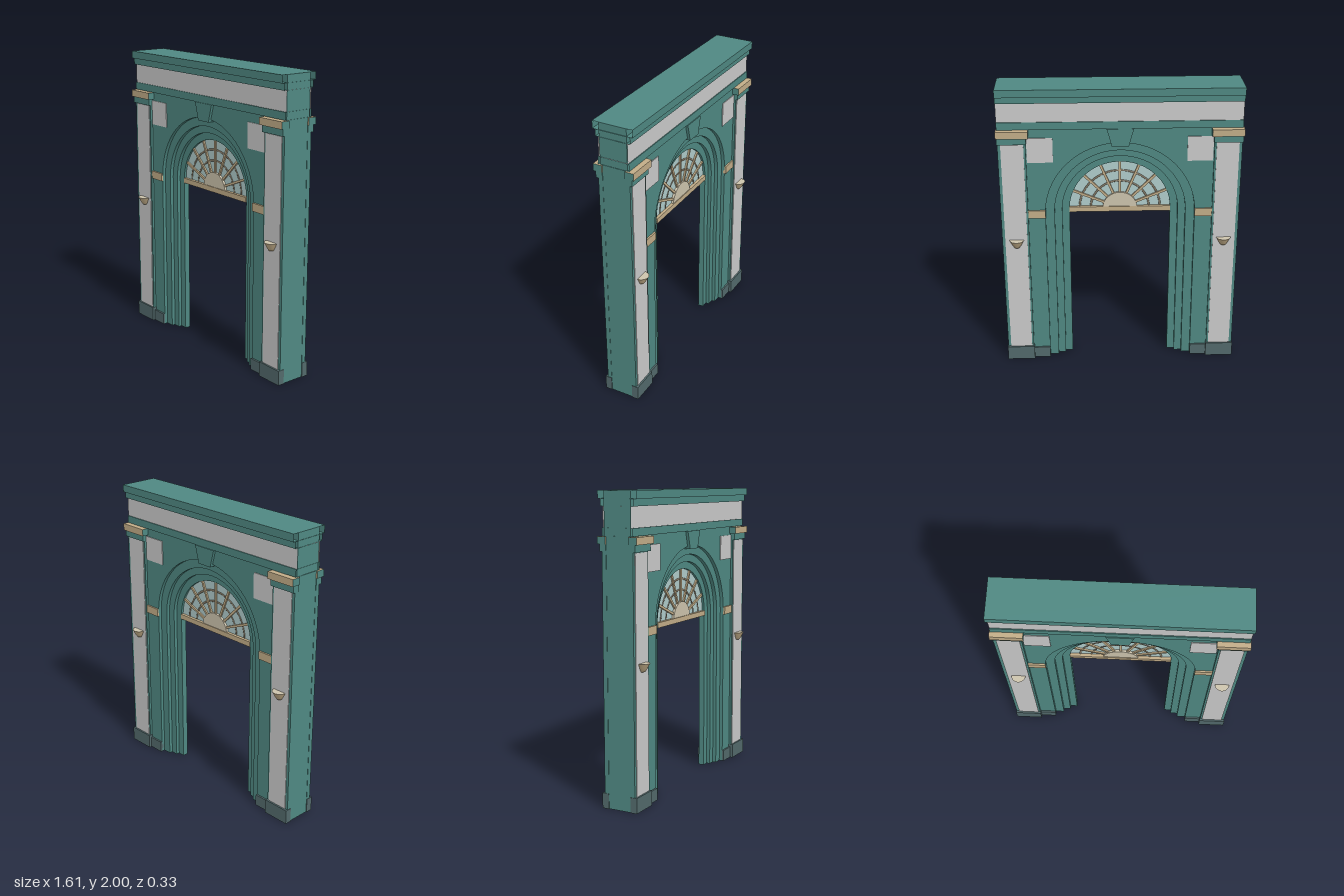
import * as THREE from 'three';
import { toCreasedNormals } from 'three/addons/utils/BufferGeometryUtils.js';

const mat = (name, color, side = THREE.FrontSide) => {
  const m = new THREE.MeshStandardMaterial({ color, side });
  m.name = name;
  return m;
};

export function createModel() {
  const model = new THREE.Group();
  model.name = 'archway';

  const green = mat('green stone', 0x4f8882, THREE.DoubleSide);
  const grey = mat('grey panel', 0xcacaca, THREE.DoubleSide);
  const slate = mat('slate base', 0x52696b);
  const tan = mat('tan trim', 0xc2ad88);
  const cream = mat('cream', 0xcdc4ad);
  const bronze = mat('bronze', 0x7d7462);
  const glass = mat('pale glass', 0xb0cccb);

  const add = (name, geo, material, x = 0, y = 0, z = 0) => {
    const m = new THREE.Mesh(geo, material);
    m.name = name;
    m.position.set(x, y, z);
    model.add(m);
    return m;
  };
  // Box given by its limits
  const box = (name, material, x0, x1, y0, y1, z0, z1) =>
    add(name, new THREE.BoxGeometry(x1 - x0, y1 - y0, z1 - z0), material,
      (x0 + x1) / 2, (y0 + y1) / 2, (z0 + z1) / 2);
  // Solid of a flat shape, centred on z = 0
  const slab = (name, shape, halfDepth, material) => {
    const geo = new THREE.ExtrudeGeometry(shape, { depth: halfDepth * 2, bevelEnabled: false, curveSegments: 40 });
    return add(name, toCreasedNormals(geo, 0.4), material, 0, 0, -halfDepth);
  };

  const SPRING = 1.125; // height of the arch centre
  const WALL = 0.094;   // half the wall thickness

  // Wall with the arched opening
  const wall = new THREE.Shape();
  wall.moveTo(-0.795, 0);
  wall.lineTo(-0.5, 0);
  wall.lineTo(-0.5, SPRING);
  wall.absarc(0, SPRING, 0.5, Math.PI, 0, true);
  wall.lineTo(0.5, 0);
  wall.lineTo(0.795, 0);
  wall.lineTo(0.795, 1.999);
  wall.lineTo(-0.795, 1.999);
  slab('wall', wall, WALL, green);

  // Stepped surround, each ring further back
  [[0.5, 0.44, 0.07], [0.44, 0.39, 0.045], [0.39, 0.34, 0.02]].forEach(([R, r, depth]) => {
    const s = new THREE.Shape();
    s.moveTo(-R, 0);
    s.lineTo(-r, 0);
    s.lineTo(-r, SPRING);
    s.absarc(0, SPRING, r, Math.PI, 0, true);
    s.lineTo(r, 0);
    s.lineTo(R, 0);
    s.lineTo(R, SPRING);
    s.absarc(0, SPRING, R, 0, Math.PI, false);
    s.lineTo(-R, 0);
    slab('archRing', s, depth, green);
  });

  // Entablature bands, open at both ends
  [
    ['architrave', green, 1.725, 1.775, 0.106],
    ['frieze', grey, 1.775, 1.905, 0.1],
    ['lowerCornice', green, 1.905, 1.95, 0.118],
    ['upperCornice', green, 1.95, 2, 0.137],
  ].forEach(([name, material, y0, y1, z]) => {
    const geo = new THREE.BoxGeometry(1.596, y1 - y0, z * 2);
    geo.setIndex([...geo.index.array].slice(12)); // drop the two end faces
    geo.clearGroups();
    add(name, geo, material, 0, (y0 + y1) / 2, 0);
  });

  // Keystone through the wall
  const key = new THREE.Shape([[-0.055, 1.605], [0.055, 1.605], [0.088, 1.725], [-0.088, 1.725]]
    .map(([x, y]) => new THREE.Vector2(x, y)));
  slab('keystone', key, 0.112, green);

  // Half bowl of a wall lamp
  const bowl = new THREE.LatheGeometry([[0.001, 0], [0.018, 0.004], [0.03, 0.022], [0.04, 0.042], [0.049, 0.058]]
    .map(([x, y]) => new THREE.Vector2(x, y)), 20, -Math.PI / 2, Math.PI);
  const bowlTop = new THREE.CircleGeometry(0.049, 20, Math.PI, Math.PI).rotateX(-Math.PI / 2);

  const trim = [green, green, tan, tan, tan, tan];
  for (const f of [1, -1]) {   // front and back
    for (const s of [1, -1]) { // left and right
      const part = (name, material, x0, x1, y0, y1, z0, z1) =>
        box(name, material, Math.min(s * x0, s * x1), Math.max(s * x0, s * x1), y0, y1,
          Math.min(f * z0, f * z1), Math.max(f * z0, f * z1));
      part('pilaster', green, 0.615, 0.797, 0.1, 1.63, 0.08, 0.11);
      part('pilasterPanel', grey, 0.628, 0.777, 0.1, 1.625, 0.108, 0.114);
      part('pilasterBase', slate, 0.61, 0.8, 0, 0.1, 0.08, 0.126);
      part('jambBase', slate, 0.5, 0.61, 0, 0.08, 0.08, 0.106);
      part('capitalNeck', green, 0.61, 0.8, 1.63, 1.675, 0.08, 0.126);
      part('capital', trim, 0.595, 0.805, 1.675, 1.722, 0.08, 0.14);
      part('impost', tan, 0.5, 0.625, 1.097, 1.152, 0.085, 0.106);
      part('squarePanel', grey, 0.44, 0.61, 1.495, 1.665, 0.09, 0.099);

      // Wall lamp
      const turn = f > 0 ? 0 : Math.PI;
      add('lampBowl', bowl, tan, s * 0.7, 0.884, f * 0.114).rotation.y = turn;
      add('lampTop', bowlTop, cream, s * 0.7, 0.942, f * 0.114).rotation.y = turn;
    }
  }

  // Fanlight: glass, sill, hub, rays and two arcs
  const halfDisc = r => {
    const s = new THREE.Shape();
    s.moveTo(-r, SPRING);
    s.lineTo(r, SPRING);
    s.absarc(0, SPRING, r, 0, Math.PI, false);
    return s;
  };
  slab('fanGlass', halfDisc(0.341), 0.004, glass);
  slab('fanHub', halfDisc(0.117), 0.02, cream);
  box('fanSill', tan, -0.34, 0.34, 1.105, 1.14, -0.025, 0.025);
  for (let i = 1; i < 8; i++) {
    const a = i * Math.PI / 8;
    const ray = add('fanRay', new THREE.BoxGeometry(0.23, 0.016, 0.03), tan,
      Math.cos(a) * 0.225, SPRING + Math.sin(a) * 0.225, 0);
    ray.rotation.z = a;
  }
  for (const r of [0.197, 0.272])
    add('fanArc', new THREE.TorusGeometry(r, 0.008, 8, 40, Math.PI), bronze, 0, SPRING, 0);

  return model;
}
